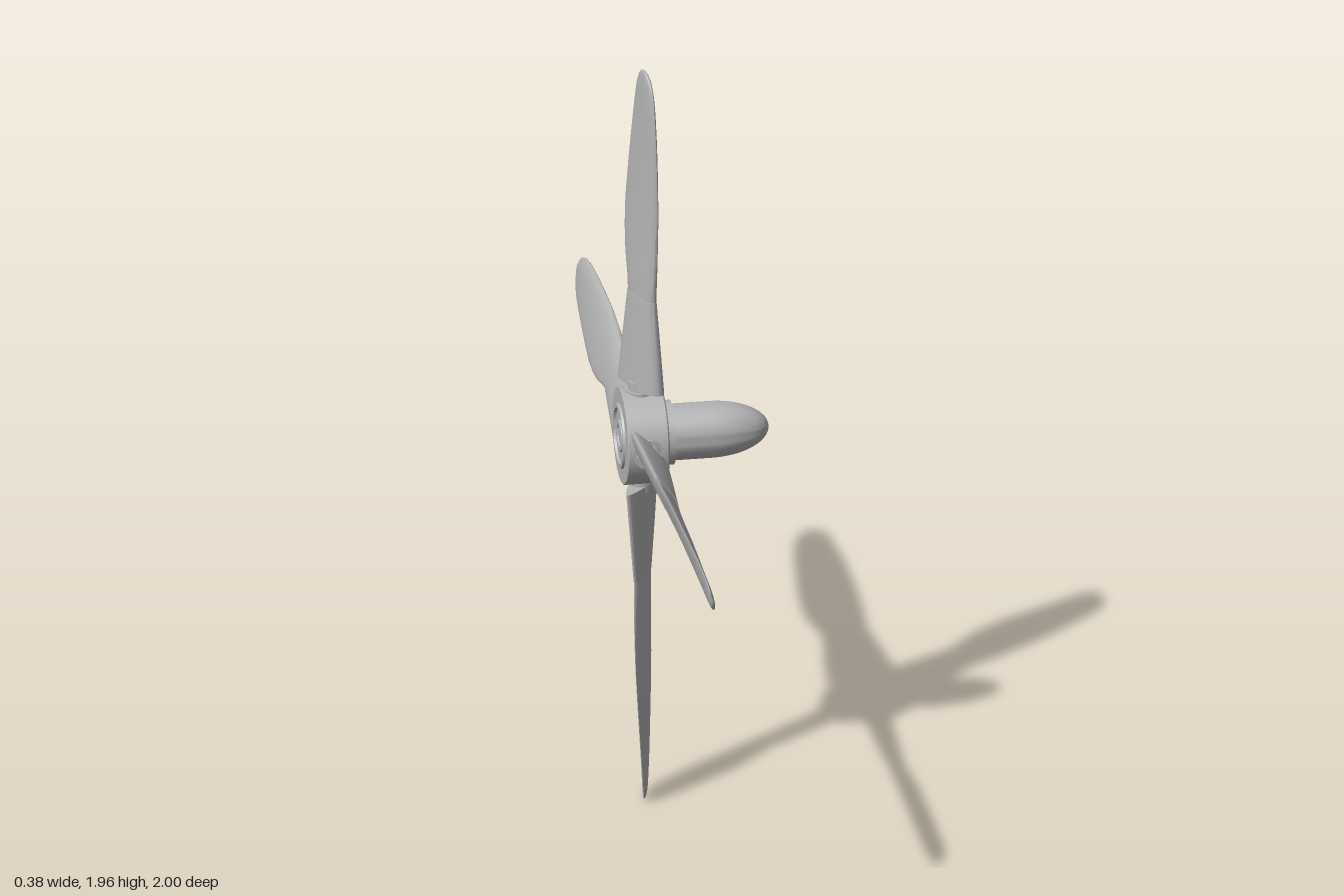
import * as THREE from 'three';
import { toCreasedNormals } from 'three/addons/utils/BufferGeometryUtils.js';

const SEG = 32;

// Solid of revolution about the x axis from [x, radius] pairs
function turned(profile, crease = 0.6) {
  const g = new THREE.LatheGeometry(profile.map(([x, r]) => new THREE.Vector2(r, x)), 48);
  g.rotateZ(-Math.PI / 2);
  return toCreasedNormals(g, crease);
}

// Loft of airfoil sections along y.
// Section: [radius, trailing chord, leading chord, trailing x, leading x, half thickness]
function loft(sections) {
  const pos = [], idx = [];
  for (const [r, cT, cL, xT, xL, b] of sections) {
    const len = Math.hypot(cT + cL, xL - xT);
    const nx = (cT + cL) / len, nc = (xL - xT) / len; // normal to the chord line
    for (let i = 0; i < SEG; i++) {
      const t = (i / SEG) * Math.PI * 2;
      const k = (1 + Math.cos(t)) / 2; // 1 at trailing edge
      const h = b * Math.sin(t) * (1 - 0.4 * Math.cos(t));
      const c = -cL + (cT + cL) * k + h * nc;
      const x = xL + (xT - xL) * k + h * nx;
      pos.push(x, r, -c);
    }
  }
  const n = sections.length;
  for (let j = 0; j < n - 1; j++) {
    for (let i = 0; i < SEG; i++) {
      const a = j * SEG + i, b = j * SEG + (i + 1) % SEG;
      idx.push(a, a + SEG, b, b, a + SEG, b + SEG);
    }
  }
  // end caps
  for (const j of [0, n - 1]) {
    const [r, cT, cL, xT, xL] = sections[j];
    const centre = pos.length / 3;
    pos.push((xT + xL) / 2, r, (cL - cT) / 2);
    for (let i = 0; i < SEG; i++) {
      const a = j * SEG + i, b = j * SEG + (i + 1) % SEG;
      if (j === 0) idx.push(centre, a, b);
      else idx.push(centre, b, a);
    }
  }
  const g = new THREE.BufferGeometry();
  g.setAttribute('position', new THREE.Float32BufferAttribute(pos, 3));
  g.setIndex(idx);
  return toCreasedNormals(g, 0.9);
}

export function createModel() {
  const metal = new THREE.MeshStandardMaterial({ color: 0xb4b4b4 });
  metal.name = 'grey metal';
  const root = new THREE.Group();
  root.name = 'propeller';
  root.position.y = 0.98;

  const add = (parent, name, geometry) => {
    const m = new THREE.Mesh(geometry, metal);
    m.name = name;
    parent.add(m);
    return m;
  };

  // Hub with shallow ring grooves on the back plate
  add(root, 'hub', turned([
    [-0.184, 0], [-0.184, 0.025], [-0.188, 0.028], [-0.188, 0.038], [-0.184, 0.041],
    [-0.184, 0.068], [-0.19, 0.07], [-0.19, 0.08], [-0.184, 0.082],
    [-0.184, 0.12], [-0.182, 0.122], [-0.084, 0.122], [-0.08, 0.118], [-0.08, 0],
  ]));
  add(root, 'collar', turned([[-0.085, 0], [-0.085, 0.08], [-0.057, 0.08], [-0.057, 0.06]]));

  // Rounded nose
  const nose = [[-0.075, 0], [-0.075, 0.07], [0.0, 0.07]];
  for (let i = 0; i <= 16; i++) {
    const t = (i / 16) * Math.PI / 2;
    nose.push([0.04 + 0.145 * Math.sin(t), Math.max(0, 0.07 * Math.cos(t))]);
  }
  add(root, 'spinner', turned(nose));

  // Shared blade geometry
  const cuff = loft([
    [0.133, 0.071, 0.069, -0.178, -0.092, 0.025],
    [0.25, 0.062, 0.061, -0.168, -0.099, 0.021],
    [0.382, 0.052, 0.054, -0.157, -0.107, 0.016],
  ]);
  const blade = loft([
    [0.375, 0.049, 0.052, -0.156, -0.107, 0.014],
    [0.42, 0.053, 0.056, -0.157, -0.106, 0.0135],
    [0.46, 0.062, 0.059, -0.159, -0.105, 0.013],
    [0.5, 0.071, 0.061, -0.16, -0.104, 0.0125],
    [0.55, 0.077, 0.063, -0.16, -0.103, 0.012],
    [0.62, 0.079, 0.064, -0.158, -0.102, 0.0115],
    [0.72, 0.073, 0.064, -0.152, -0.103, 0.0105],
    [0.82, 0.065, 0.062, -0.145, -0.105, 0.009],
    [0.9, 0.057, 0.058, -0.139, -0.108, 0.008],
    [0.95, 0.049, 0.051, -0.135, -0.111, 0.007],
    [0.98, 0.037, 0.038, -0.131, -0.115, 0.006],
    [0.994, 0.022, 0.022, -0.128, -0.119, 0.004],
    [1.0, 0.006, 0.006, -0.125, -0.122, 0.002],
  ]);
  const shaft = new THREE.CylinderGeometry(0.03, 0.03, 0.1, 24);
  const boss = new THREE.CylinderGeometry(0.038, 0.038, 0.05, 24);

  // Four blades around the hub, the vertical pair slightly shorter
  for (let k = 0; k < 4; k++) {
    const arm = new THREE.Group();
    arm.name = 'bladeAssembly' + (k + 1);
    add(arm, 'bladeBoss', boss).position.set(-0.135, 0.102, 0);
    add(arm, 'bladeShaft', shaft).position.set(-0.135, 0.1, 0);
    add(arm, 'bladeCuff', cuff);
    add(arm, 'blade', blade);
    arm.rotation.x = k * Math.PI / 2;
    if (k % 2 === 0) arm.scale.y = 0.98;
    root.add(arm);
  }

  const model = new THREE.Group();
  model.name = 'model';
  model.add(root);
  return model;
}
